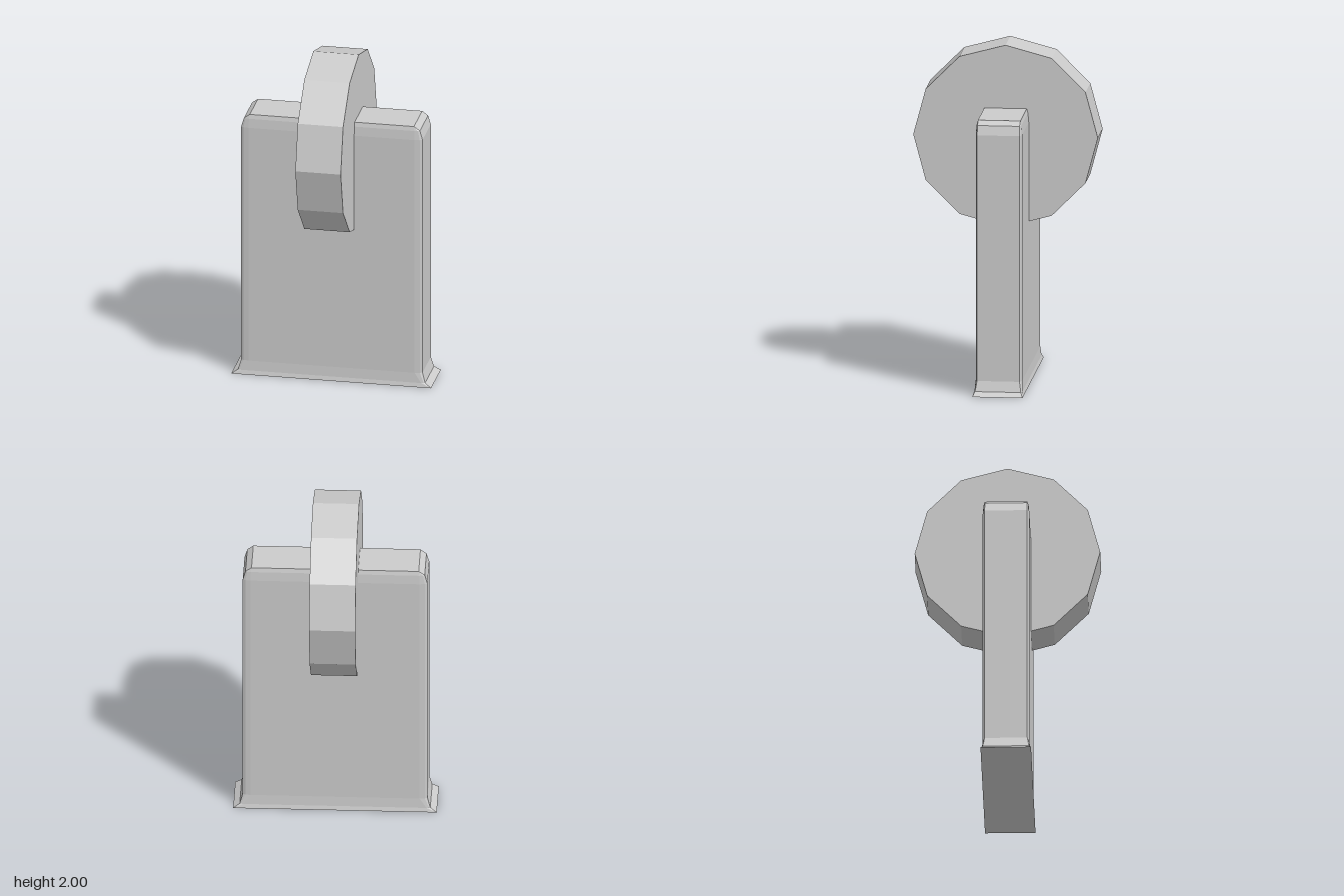
import * as THREE from 'three';

const grey = new THREE.MeshStandardMaterial({ color: 0xcccccc, flatShading: true });

// Rectangle outline with eased corners, counter-clockwise seen from above
function ring(y, hx, hz, ease) {
  const corner = [[0, 0.012], [0.015, 0.004], [0.045, 0]]
    .map(([dx, dz]) => [hx - dx * ease, hz - dz * ease]);
  const mirrored = (sx, sz) => corner.map(([x, z]) => [x * sx, y, z * sz]);
  return [
    ...mirrored(1, -1).reverse(), ...mirrored(1, 1),
    ...mirrored(-1, 1).reverse(), ...mirrored(-1, -1),
  ];
}

// Skin stacked rings and close both ends
function loft(rings) {
  const n = rings[0].length;
  const index = [];
  for (let r = 0; r < rings.length - 1; r++) {
    for (let i = 0; i < n; i++) {
      const j = (i + 1) % n;
      const a = r * n + i, b = r * n + j;
      index.push(a, a + n, b, b, a + n, b + n);
    }
  }
  const top = (rings.length - 1) * n;
  for (let i = 1; i < n - 1; i++) {
    index.push(0, i, i + 1);
    index.push(top, top + i + 1, top + i);
  }
  const geometry = new THREE.BufferGeometry();
  geometry.setAttribute('position', new THREE.Float32BufferAttribute(rings.flat(2), 3));
  geometry.setIndex(index);
  const flat = geometry.toNonIndexed();
  flat.computeVertexNormals();
  return flat;
}

export function createModel() {
  const group = new THREE.Group();

  // Upright slab: flared foot, straight sides, bevelled shoulders
  const slab = new THREE.Mesh(loft([
    ring(0, 0.593, 0.147, 0),
    ring(0.025, 0.555, 0.14, 0.5),
    ring(0.085, 0.538, 0.136, 1),
    ring(1.545, 0.538, 0.136, 1),
    ring(1.6, 0.522, 0.131, 0.7),
    ring(1.625, 0.487, 0.124, 0),
  ]), grey);
  slab.name = 'slab';
  group.add(slab);

  // Twelve-sided wheel set through the top, axle along x
  const disc = new THREE.CylinderGeometry(0.54, 0.54, 0.27, 12);
  disc.rotateZ(Math.PI / 2);
  const wheel = new THREE.Mesh(disc, grey);
  wheel.name = 'wheel';
  wheel.position.y = 1.46;
  group.add(wheel);

  return group;
}
